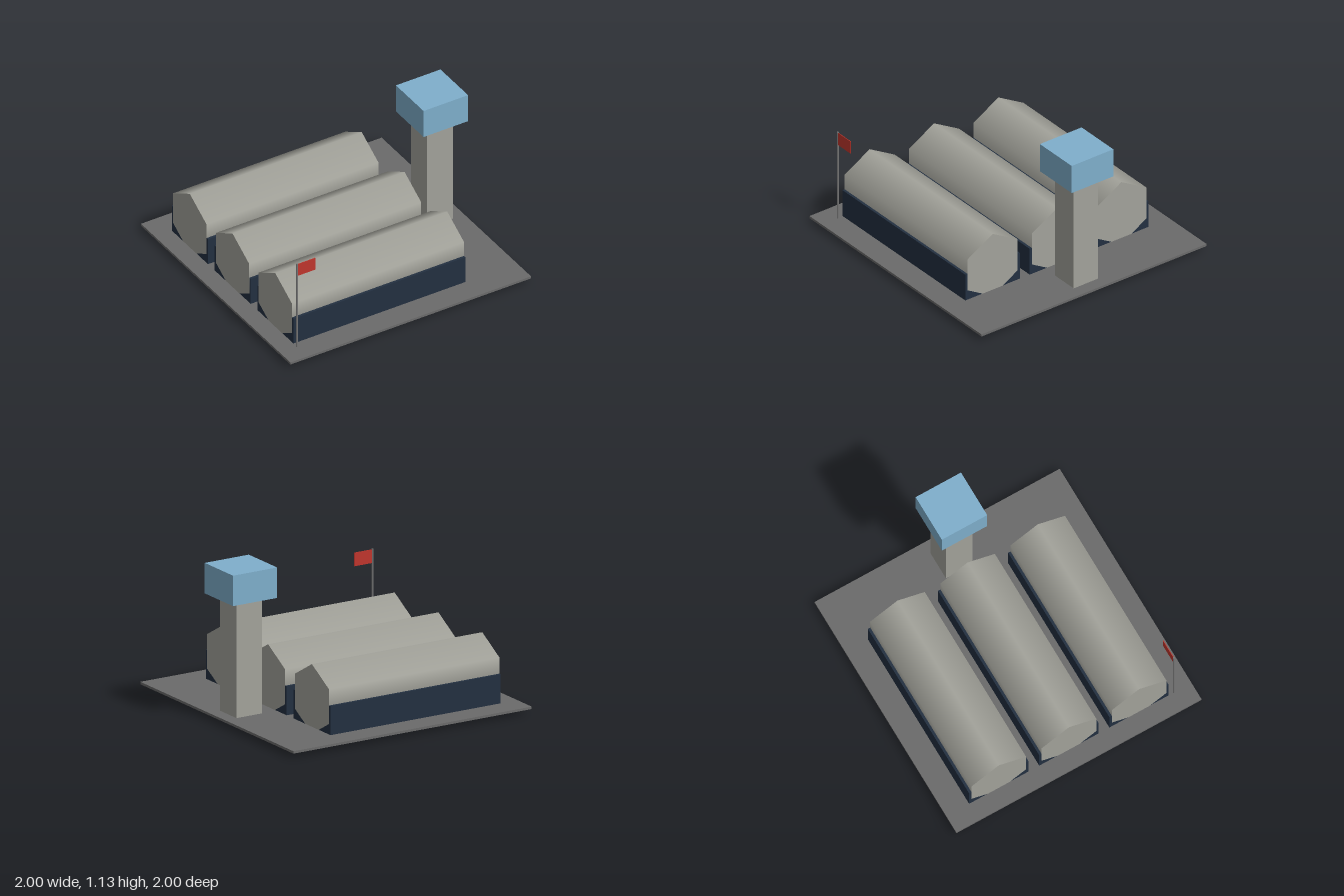
import * as THREE from 'three';

const material = (name, color) => {
  const m = new THREE.MeshStandardMaterial({ color });
  m.name = name;
  return m;
};

export function createModel() {
  const model = new THREE.Group();
  model.name = 'barracks';

  const concrete = material('concrete', 0xa3a39b);
  const navy = material('navy', 0x233041);
  const asphalt = material('asphalt', 0x6b6b6b);
  const glass = material('glassBlue', 0x7fafcc);
  const red = material('flagRed', 0xc0362d);
  const metal = material('poleGrey', 0x777777);

  const add = (name, geometry, mat, x, y, z, parent = model) => {
    const mesh = new THREE.Mesh(geometry, mat);
    mesh.name = name;
    mesh.position.set(x, y, z);
    parent.add(mesh);
    return mesh;
  };
  const box = (w, h, d) => new THREE.BoxGeometry(w, h, d);

  // Ground slab
  add('groundSlab', box(2, 0.018, 2), asphalt, 0, 0.042, 0);

  // Six-sided roof shell lying along x, ridge up, with smooth sides
  const R = 0.257;
  const shell = new THREE.CylinderGeometry(R, R, 1.43, 6, 1, false, Math.PI / 6);
  shell.rotateZ(Math.PI / 2);
  const walls = box(1.428, 0.22, 0.484);

  // Three huts side by side
  [-0.572, 0, 0.572].forEach((z, i) => {
    const hut = new THREE.Group();
    hut.name = `hut${i + 1}`;
    hut.position.set(-0.145, 0, z);
    model.add(hut);
    add('roofShell', shell, concrete, 0, R, 0, hut);
    add('lowerWalls', walls, navy, 0, 0.155, 0, hut);
  });

  // Watch tower
  add('towerShaft', box(0.215, 0.867, 0.215), concrete, 0.797, 0.4765, 0);
  add('towerCabin', box(0.37, 0.225, 0.37), glass, 0.798, 1.0225, 0);

  // Flag and pole
  add('flagPole', new THREE.CylinderGeometry(0.007, 0.007, 0.72, 8), metal, -0.857, 0.405, 0.857);
  add('flag', box(0.15, 0.1, 0.005), red, -0.78, 0.71, 0.857);

  return model;
}
